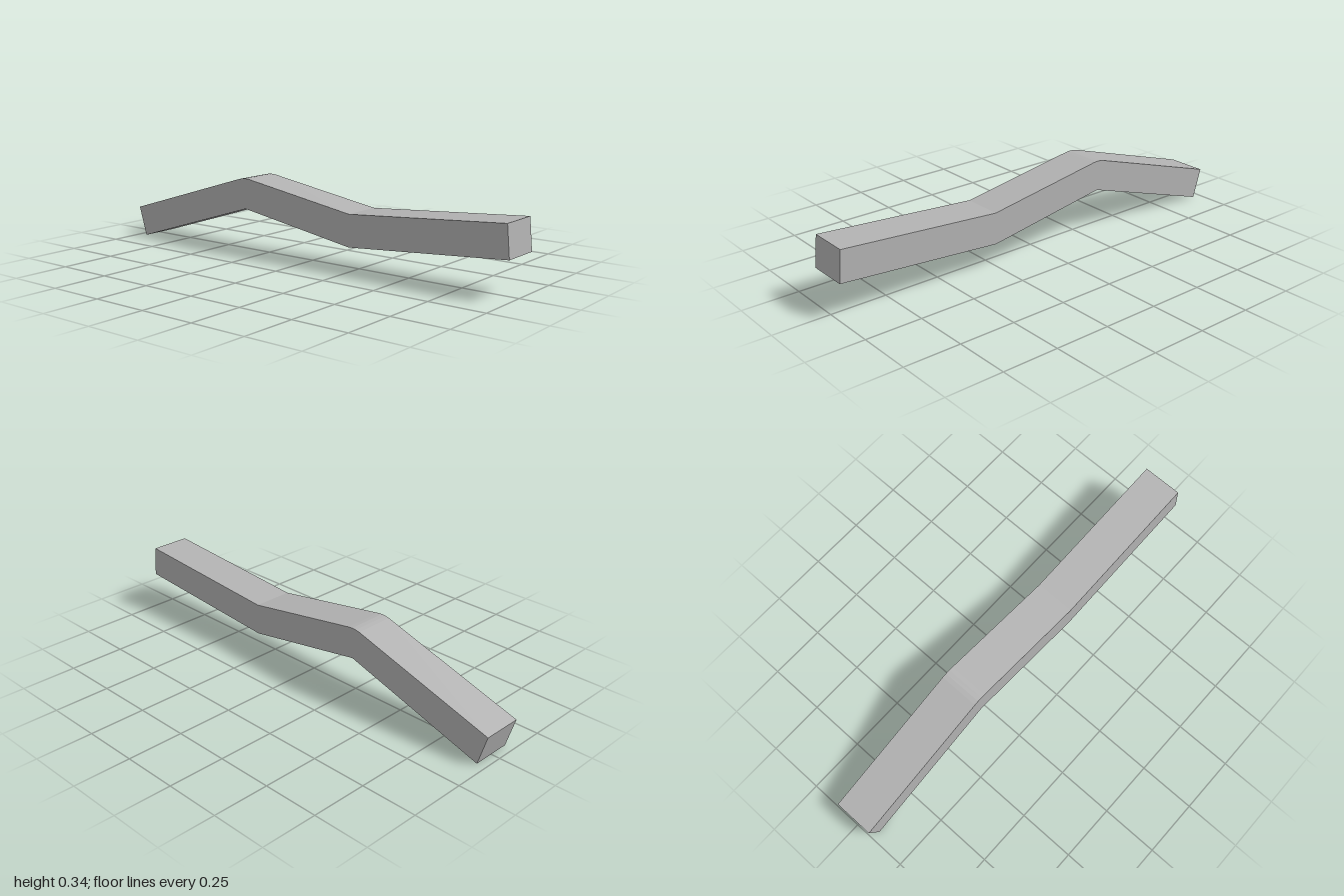
import * as THREE from 'three';

export function createModel() {
  const group = new THREE.Group();
  group.name = 'bentBeam';
  const grey = new THREE.MeshStandardMaterial({ color: 0xb2b2b2 });
  grey.name = 'grey';

  // Side outline of the beam: underside left to right, then the top back
  const outline = [
    [-0.96, 0], [-0.31, 0.205], [0.26, 0.11], [1, 0.166],
    [0.987, 0.304], [0.26, 0.25], [-0.285, 0.339], [-0.305, 0.341],
    [-0.325, 0.34], [-0.345, 0.336], [-1, 0.134],
  ].map(([x, y]) => new THREE.Vector2(x, y));

  // Square-section beam with two bends
  const depth = 0.18;
  const geometry = new THREE.ExtrudeGeometry(new THREE.Shape(outline), { depth, bevelEnabled: false });
  geometry.translate(0, 0, -depth / 2);
  const beam = new THREE.Mesh(geometry, grey);
  beam.name = 'beam';
  group.add(beam);
  return group;
}
